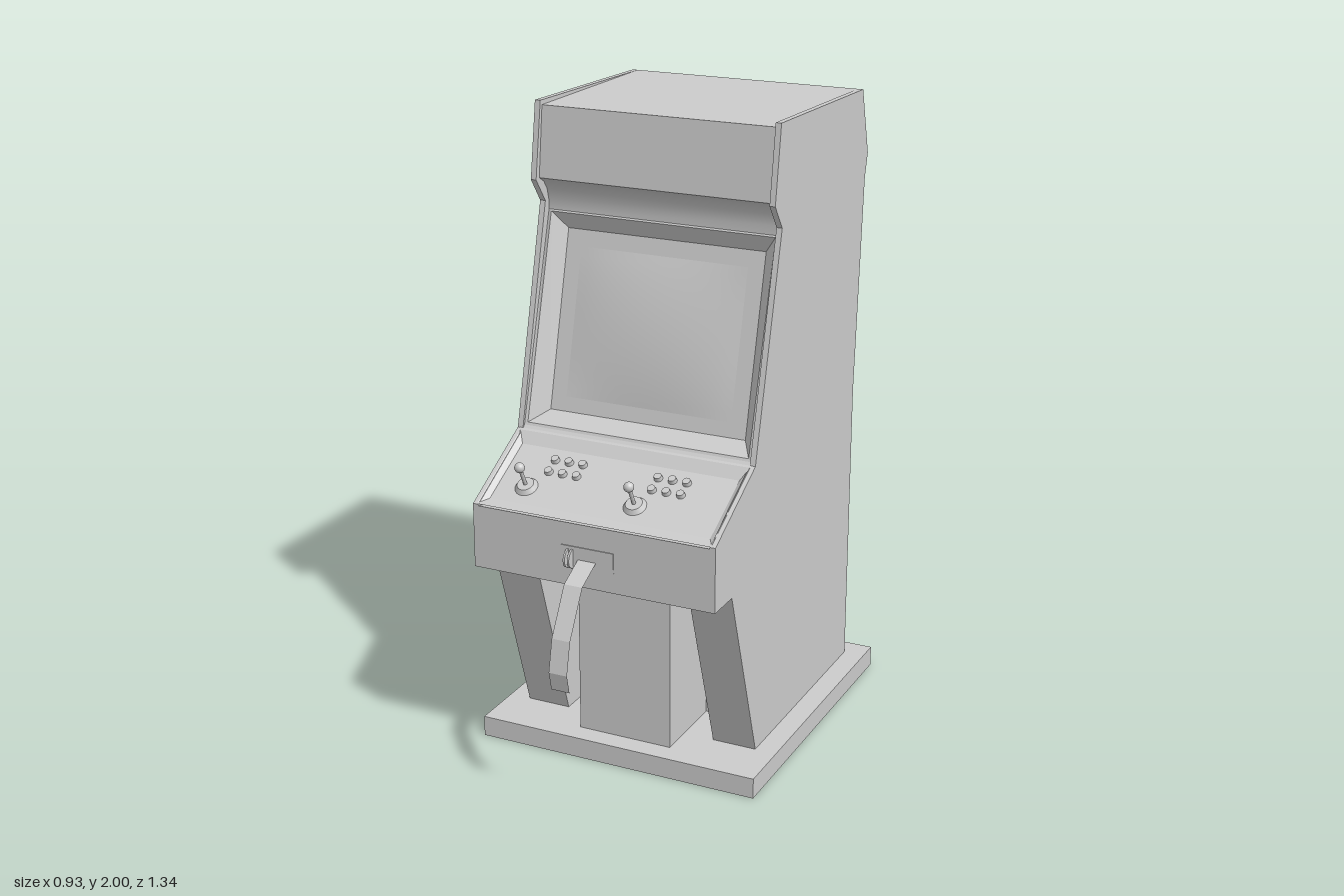
import * as THREE from 'three';
import { toCreasedNormals } from 'three/addons/utils/BufferGeometryUtils.js';

const grey = new THREE.MeshStandardMaterial({ color: 0xcccccc });
const thin = new THREE.MeshStandardMaterial({ color: 0xcccccc, side: THREE.DoubleSide });

function add(parent, name, geometry, material = grey) {
  const mesh = new THREE.Mesh(geometry, material);
  mesh.name = name;
  parent.add(mesh);
  return mesh;
}

// Extrudes a side profile of [z, y] points between two x positions
function slab(profile, x0, x1) {
  const shape = new THREE.Shape(profile.map(([z, y]) => new THREE.Vector2(z, y)));
  const geo = new THREE.ExtrudeGeometry(shape, { depth: x1 - x0, bevelEnabled: false });
  geo.rotateY(-Math.PI / 2).translate(x1, 0, 0);
  return toCreasedNormals(geo, 0.5);
}

function box(x0, x1, y0, y1, z0, z1) {
  return new THREE.BoxGeometry(x1 - x0, y1 - y0, z1 - z0)
    .translate((x0 + x1) / 2, (y0 + y1) / 2, (z0 + z1) / 2);
}

// Tilted rectangle from a lower [z, y] edge to an upper one
const rect = (w, [z0, y0], [z1, y1]) => [[-w, y0, z0], [w, y0, z0], [w, y1, z1], [-w, y1, z1]];

// Flat-faced frame through nested rectangles, closed by the last one
function nestedFrame(rings) {
  const pos = [];
  const quad = (a, b, c, d) => pos.push(...a, ...b, ...c, ...a, ...c, ...d);
  for (let r = 0; r < rings.length - 1; r++) {
    for (let i = 0; i < 4; i++) {
      const j = (i + 1) % 4;
      quad(rings[r][i], rings[r][j], rings[r + 1][j], rings[r + 1][i]);
    }
  }
  quad(...rings[rings.length - 1]);
  const geo = new THREE.BufferGeometry();
  geo.setAttribute('position', new THREE.Float32BufferAttribute(pos, 3));
  geo.computeVertexNormals();
  return geo;
}

export function createModel() {
  const model = new THREE.Group();
  model.name = 'arcadeCabinet';

  // Hollow plinth, open underneath
  const plinth = new THREE.Group();
  plinth.name = 'plinth';
  model.add(plinth);
  add(plinth, 'plinthTop', box(-0.467, 0.467, 0.055, 0.066, -0.672, 0.34));
  for (const s of [-1, 1]) {
    add(plinth, 'plinthSide', box(-0.005, 0.005, 0, 0.066, -0.672, 0.34).translate(s * 0.462, 0, 0));
    add(plinth, 'plinthEnd', box(-0.467, 0.467, 0, 0.066, -0.005, 0.005).translate(0, 0, -0.166 + s * 0.501));
  }

  // Side panels and sloping front legs
  const back = [[-0.605, 1.985], [-0.665, 1.775], [-0.645, 1.7], [-0.6, 1.01], [-0.6, 0.065]];
  const side = [...back, [0.165, 0.065], [0.36, 0.656], [0.48, 0.656], [0.48, 0.86],
    [0.2, 1.012], [0.03, 1.69], [0.085, 1.765], [0.05, 2]];
  const leg = [[0, 0.065], [0.165, 0.065], [0.36, 0.656], [0, 0.656]];
  for (const s of [-1, 1]) {
    const span = (a, b) => (s > 0 ? [a, b] : [-b, -a]);
    add(model, s > 0 ? 'leftSidePanel' : 'rightSidePanel', slab(side, ...span(0.38, 0.398)));
    add(model, s > 0 ? 'leftLeg' : 'rightLeg', slab(leg, ...span(0.255, 0.38)));
  }

  // Body between the side panels, with marquee, cove and apron
  const body = [...back, [0, 0.065], [0, 0.656], [0.48, 0.656], [0.48, 0.855],
    [0.44, 0.845], [0.235, 0.95], [0.2, 0.99], [0.2, 1.01], [0.19, 1.02],
    [0.09, 1.02], [-0.07, 1.66], [0.008, 1.66], [0.008, 1.69], [0.018, 1.725],
    [0.038, 1.752], [0.065, 1.768], [0.04, 1.985]];
  add(model, 'body', slab(body, -0.38, 0.38));
  add(model, 'coinDoorBox', box(-0.157, 0.155, 0.065, 0.657, 0, 0.27));

  // Screen surround and bulging glass
  add(model, 'screenBezel', nestedFrame([
    rect(0.38, [0.19, 1.02], [0.008, 1.66]),
    rect(0.37, [0.186, 1.028], [0.012, 1.655]),
    rect(0.328, [0.115, 1.055], [-0.02, 1.6]),
  ]), thin);
  const glass = new THREE.PlaneGeometry(2, 2, 20, 16);
  const p = glass.attributes.position;
  for (let i = 0; i < p.count; i++) {
    const u = p.getX(i), v = p.getY(i);
    const bulge = 0.002 + 0.02 * (1 - u * u) * (1 - v * v);
    p.setXYZ(i, u * 0.277, 1.325 + v * 0.225 + bulge * 0.24, 0.048 - v * 0.0557 + bulge * 0.97);
  }
  glass.computeVertexNormals();
  add(model, 'screenGlass', glass);

  // Sunken control panel
  add(model, 'controlPanel', nestedFrame([
    rect(0.39, [0.48, 0.861], [0.2, 1.013]),
    rect(0.384, [0.476, 0.863], [0.208, 1.009]),
    rect(0.363, [0.44, 0.868], [0.235, 0.975]),
  ]), thin);

  const mount = (name, x, z) => {
    const group = new THREE.Group();
    group.name = name;
    group.position.set(x, 0.975 - 0.522 * (z - 0.235), z);
    group.rotation.x = 0.481;
    model.add(group);
    return group;
  };

  // Joystick and six buttons for each player
  for (const [stickX, buttonX] of [[-0.27, -0.226], [0.093, 0.119]]) {
    const stick = mount('joystick', stickX, 0.38);
    add(stick, 'joystickBase', new THREE.CylinderGeometry(0.026, 0.036, 0.014, 24).translate(0, 0.007, 0));
    add(stick, 'joystickShaft', new THREE.CylinderGeometry(0.006, 0.006, 0.08, 12).translate(0, 0.045, 0));
    add(stick, 'joystickBall', new THREE.SphereGeometry(0.016, 20, 14).translate(0, 0.084, 0));
    for (let col = 0; col < 3; col++) {
      for (const z of [0.275, 0.318]) {
        const button = mount('button', buttonX + col * 0.047, z);
        add(button, 'buttonCap', new THREE.CylinderGeometry(0.012, 0.014, 0.014, 20).translate(0, 0.006, 0));
      }
    }
  }

  // Dispenser plate with a pair of rounded guide fins
  add(model, 'dispenserPlate', box(-0.1, 0.073, 0.72, 0.783, 0.478, 0.483));
  const fin = [];
  for (let i = 0; i <= 10; i++) {
    const a = (i / 10 - 0.5) * Math.PI;
    fin.push([0.48 + 0.03 * Math.cos(a), 0.744 + 0.03 * Math.sin(a)]);
  }
  for (const x of [-0.08, -0.066]) add(model, 'guideFin', slab(fin, x, x + 0.006));

  // Paper strip hanging from the plate
  const path = [[0.48, 0.745], [0.57, 0.7], [0.65, 0.56], [0.672, 0.46], [0.658, 0.4]];
  const strip = new THREE.PlaneGeometry(0.06, 1, 1, path.length - 1);
  const sp = strip.attributes.position;
  for (let i = 0; i < sp.count; i++) {
    const [z, y] = path[Math.floor(i / 2)];
    sp.setXYZ(i, sp.getX(i) - 0.014, y, z);
  }
  add(model, 'paperStrip', toCreasedNormals(strip, 0.1), thin);

  return model;
}
